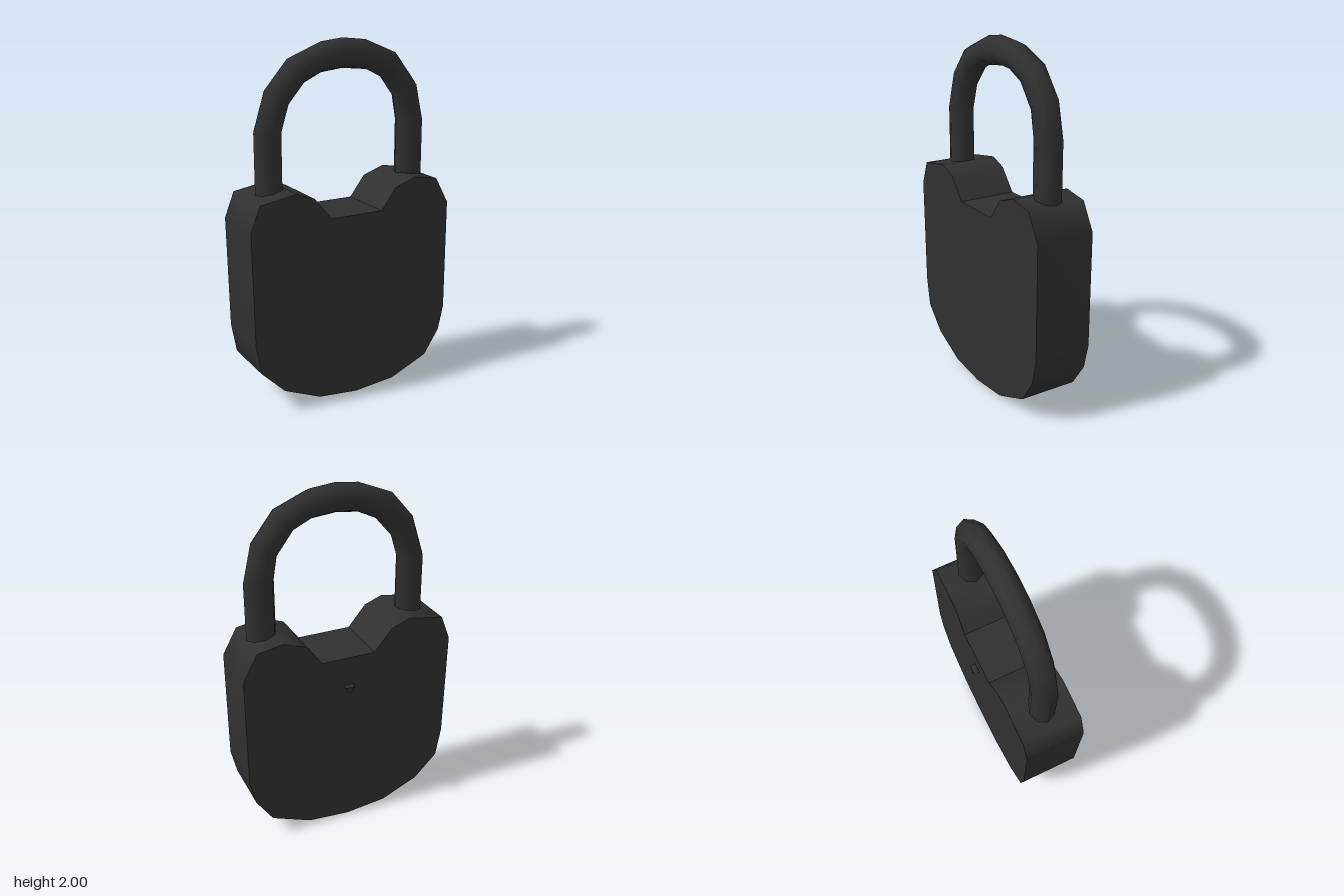
import * as THREE from 'three';

const FRONT = 0.184, BACK = -0.156;

// Skins a list of equal-length cross-sections with smooth normals
function loft(rings, closed) {
  const n = rings[0].length, index = [];
  for (let i = 0; i < rings.length - 1; i++) {
    for (let j = 0; j < (closed ? n : n - 1); j++) {
      const k = (j + 1) % n;
      const a = i * n + j, b = a + n, c = (i + 1) * n + k, d = i * n + k;
      index.push(a, b, c, a, c, d);
    }
  }
  const geometry = new THREE.BufferGeometry();
  geometry.setAttribute('position', new THREE.Float32BufferAttribute(rings.flat(2), 3));
  geometry.setIndex(index);
  geometry.computeVertexNormals();
  return geometry;
}

// Flat face cut to an outline, facing front or back
function plate(points, z, facing) {
  const shape = new THREE.Shape(points.map(([x, y]) => new THREE.Vector2(x * facing, y)));
  const geometry = new THREE.ShapeGeometry(shape);
  if (facing < 0) geometry.rotateY(Math.PI);
  return geometry.translate(0, 0, z);
}

export function createModel() {
  const model = new THREE.Group();
  model.name = 'padlock';
  const darkMetal = new THREE.MeshStandardMaterial({ color: 0x303030 });
  darkMetal.name = 'darkMetal';
  const add = (name, geometry, parent = model) => {
    const mesh = new THREE.Mesh(geometry, darkMetal);
    mesh.name = name;
    parent.add(mesh);
  };

  // Body outline, clockwise from the right end of the notch to its left end
  const outline = [
    [0.17, 1.065], [0.26, 1.185], [0.39, 1.23], [0.535, 1.205], [0.618, 1.055],
    [0.618, 0.405], [0.585, 0.26], [0.49, 0.118], [0.26, 0.022], [0.015, 0],
    [-0.225, 0.025], [-0.445, 0.12], [-0.58, 0.255], [-0.61, 0.425], [-0.62, 1.055],
    [-0.565, 1.195], [-0.355, 1.23], [-0.25, 1.19], [-0.145, 1.065],
  ];
  const wall = (points) => loft(points.map(([x, y]) => [[x, y, FRONT], [x, y, BACK]]), false);
  const body = new THREE.Group();
  body.name = 'body';
  add('bodyRim', wall(outline), body);
  add('notchFloor', wall([outline[outline.length - 1], outline[0]]), body);
  add('bodyFront', plate(outline, FRONT, 1), body);
  add('bodyBack', plate(outline, BACK, -1), body);
  model.add(body);

  // Shackle: outer and inner edge points, left leg over the arch to the right leg
  const arch = [
    [-0.515, 1.15, -0.355, 1.15], [-0.515, 1.535, -0.355, 1.535],
    [-0.445, 1.755, -0.315, 1.665], [-0.315, 1.905, -0.22, 1.775],
    [-0.115, 1.985, -0.115, 1.825], [0.015, 2, 0.015, 1.84],
    [0.16, 1.985, 0.165, 1.825], [0.355, 1.905, 0.255, 1.78],
    [0.485, 1.74, 0.345, 1.66], [0.535, 1.53, 0.367, 1.53],
    [0.535, 1.15, 0.367, 1.15],
  ];
  const SIDES = 8;
  const rings = arch.map(([ox, oy, ix, iy]) => Array.from({ length: SIDES }, (_, j) => {
    const t = (j / SIDES) * Math.PI * 2, c = Math.cos(t) / 2;
    return [
      (ox + ix) / 2 + (ox - ix) * c,
      (oy + iy) / 2 + (oy - iy) * c,
      0.014 - 0.07 * Math.sin(t),
    ];
  }));
  add('shackle', loft(rings, true));

  // Small three-sided pin on the back
  const pin = new THREE.Shape([[-0.013, 0.895], [0.016, 0.85], [0.045, 0.895]]
    .map(([x, y]) => new THREE.Vector2(x, y)));
  add('backPin', new THREE.ExtrudeGeometry(pin, { depth: 0.04, bevelEnabled: false })
    .translate(0, 0, -0.187));

  return model;
}
